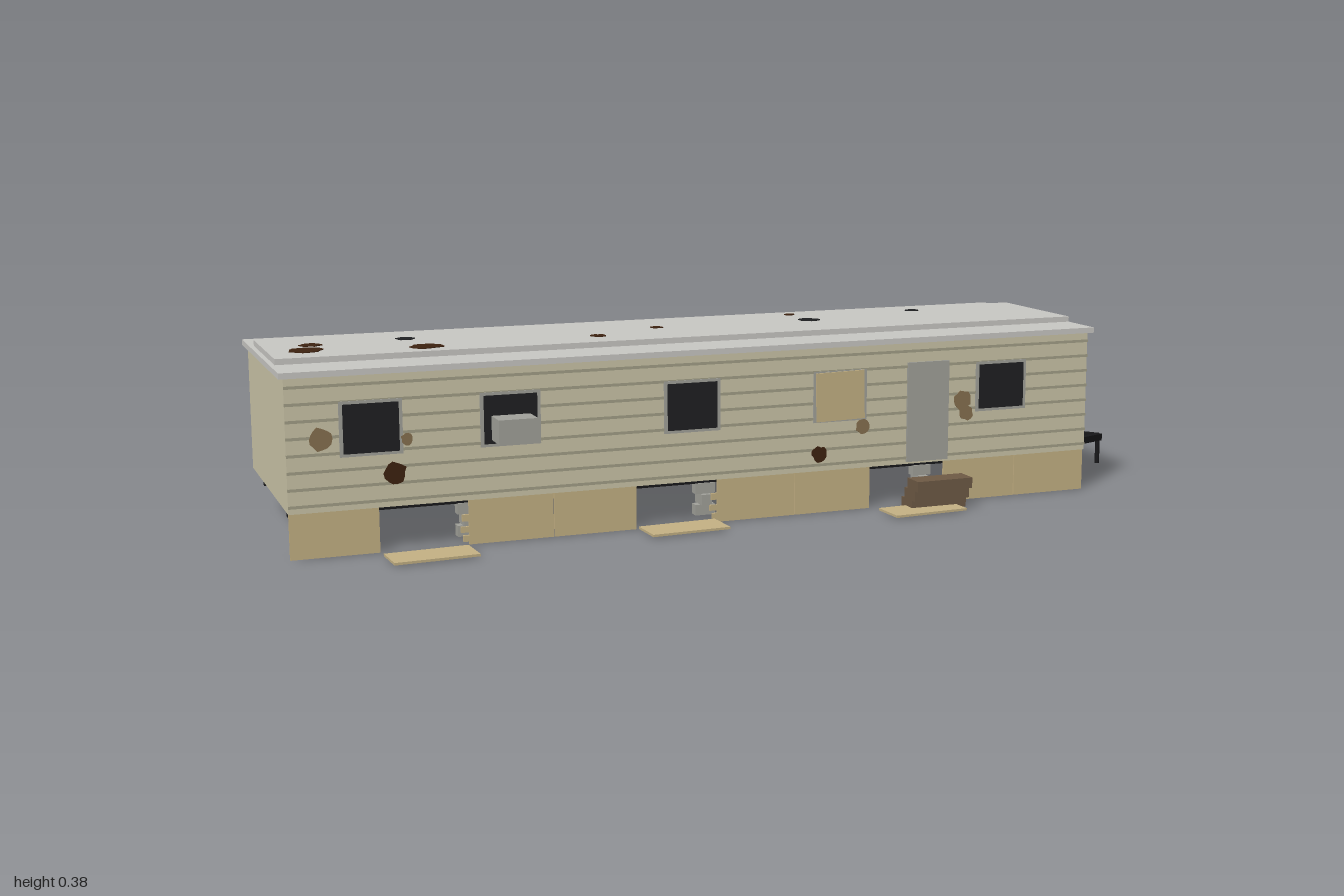
import * as THREE from 'three';

const mat = (name, color, opts = {}) => {
  const m = new THREE.MeshStandardMaterial({ color, ...opts });
  m.name = name;
  return m;
};

export function createModel() {
  const root = new THREE.Group();
  root.name = 'mobileHome';
  const M = {
    siding: mat('cream siding', 0xcbc5a8),
    groove: mat('siding seam', 0xa39f87),
    roof: mat('roof grey', 0xc8c7c3),
    metal: mat('weathered grey', 0xa1a19a),
    glass: mat('dark glass', 0x1f2022),
    steel: mat('black steel', 0x18181a),
    plywood: mat('plywood', 0xc4b184),
    timber: mat('brown timber', 0x6e5a45),
    rust: mat('rust', 0x3d2210, { side: THREE.DoubleSide }),
    dent: mat('torn siding', 0x86704f, { side: THREE.DoubleSide }),
  };

  // Box given by its min and max on each axis
  const box = (name, m, [x0, x1], [y0, y1], [z0, z1], parent = root) => {
    const mesh = new THREE.Mesh(new THREE.BoxGeometry(x1 - x0, y1 - y0, z1 - z0), m);
    mesh.position.set((x0 + x1) / 2, (y0 + y1) / 2, (z0 + z1) / 2);
    mesh.name = name;
    parent.add(mesh);
    return mesh;
  };
  const group = (name) => {
    const g = new THREE.Group();
    g.name = name;
    root.add(g);
    return g;
  };
  let seed = 7;
  const rand = () => (seed = (seed * 16807) % 2147483647) / 2147483647;

  // Irregular flat patch in the xy plane
  const patch = (name, m, r, parent) => {
    const pts = [];
    for (let i = 0; i < 14; i++) {
      const a = (i / 14) * Math.PI * 2, k = r * (0.8 + 0.3 * rand());
      pts.push(new THREE.Vector2(Math.cos(a) * k, Math.sin(a) * k));
    }
    const geo = new THREE.ExtrudeGeometry(new THREE.Shape(pts), { depth: 0.0015, bevelEnabled: false });
    const mesh = new THREE.Mesh(geo, m);
    mesh.name = name;
    parent.add(mesh);
    return mesh;
  };

  // Body and roof
  box('body', M.siding, [-0.99, 0.79], [0.092, 0.36], [-0.297, 0.185]);
  box('roofSlab', M.roof, [-1, 0.8], [0.359, 0.371], [-0.308, 0.195]);
  box('roofCap', M.roof, [-0.99, 0.8], [0.371, 0.383], [-0.2, 0.088]);

  // Siding seams on the front wall
  const seams = group('sidingSeams');
  for (let i = 0; i < 8; i++) {
    const y = 0.106 + i * 0.0335;
    box('seam', M.groove, [-0.99, 0.79], [y - 0.003, y + 0.003], [0.184, 0.1875], seams);
  }

  // Windows, one of them boarded up
  const windows = group('windows');
  [-0.825, -0.545, -0.157, 0.18, 0.57].forEach((x, i) => {
    box('windowFrame', M.metal, [x - 0.062, x + 0.062], [0.198, 0.308], [0.184, 0.189], windows);
    box('windowPane', M.glass, [x - 0.055, x + 0.055], [0.204, 0.302], [0.184, 0.1905], windows);
    if (i === 3) {
      const b = box('windowBoard', M.plywood, [x - 0.057, x + 0.055], [0.201, 0.306], [0.189, 0.193], windows);
      b.rotation.z = 0.02;
    }
  });
  box('airConditioner', M.metal, [-0.585, -0.505], [0.212, 0.261], [0.185, 0.247]);
  box('door', M.metal, [0.34, 0.44], [0.097, 0.316], [0.184, 0.1905]);

  // Damage on the front wall: x, y, radius, material
  const wallDamage = group('wallDamage');
  [
    [-0.78, 0.16, 0.023, M.rust], [0.132, 0.13, 0.018, M.rust],
    [-0.925, 0.237, 0.023, M.dent], [-0.755, 0.226, 0.013, M.dent],
    [0.234, 0.184, 0.017, M.dent], [0.474, 0.225, 0.022, M.dent], [0.484, 0.198, 0.018, M.dent],
  ].forEach(([x, y, r, m]) => patch('wallPatch', m, r, wallDamage).position.set(x, y, 0.1878));

  // Rust and holes on the roof: x, z, radius, material
  const roofDamage = group('roofDamage');
  [
    [-0.917, -0.008, 0.037, M.rust], [-0.893, -0.078, 0.023, M.rust], [-0.675, 0.025, 0.035, M.rust],
    [-0.3, 0.003, 0.017, M.rust], [-0.142, -0.077, 0.014, M.rust], [0.217, -0.174, 0.013, M.rust],
    [-0.692, -0.1, 0.021, M.glass], [0.222, -0.073, 0.023, M.glass], [0.516, -0.142, 0.017, M.glass],
  ].forEach(([x, z, r, m]) => {
    const p = patch('roofPatch', m, r, roofDamage);
    p.rotation.x = -Math.PI / 2;
    p.position.set(x, 0.383, z);
  });

  // Skirting: ten bays, three of them fallen, two panels splintered
  const skirting = group('skirting');
  const w = 0.178;
  for (let i = 0; i < 10; i++) {
    if (i % 3 === 1 && i < 8) continue;
    const x = -0.99 + i * w;
    box('skirtPanel', M.plywood, [x + 0.001, x + w - 0.001], [0, 0.092], [0.176, 0.181], skirting);
    if (i === 2 || i === 5) {
      for (const [y, h, l] of [[0.006, 0.013, 0.011], [0.025, 0.012, 0.016], [0.048, 0.014, 0.013]])
        box('splinter', M.plywood, [x - l, x + 0.002], [y, y + h], [0.176, 0.181], skirting);
    }
  }
  [[-0.727, 0.258, 0.055], [-0.19, 0.227, 0.05], [0.347, 0.256, 0.055]].forEach(([x, z, a]) => {
    const p = box('fallenPanel', M.plywood, [x - 0.086, x + 0.086], [0.003, 0.008], [z - 0.04, z + 0.04], skirting);
    p.rotation.y = a;
  });

  // Entry steps
  const steps = group('entrySteps');
  for (let i = 0; i < 3; i++) {
    const z = 0.198 + i * 0.0135;
    box('step', M.timber, [0.325, 0.456], [0.001 + i * 0.0232, 0.0242 + i * 0.0232], [z, z + 0.05], steps);
  }

  // Chassis rails on stacked block piers
  const chassis = group('chassis');
  for (const z of [0.1, -0.213]) {
    box('rail', M.steel, [-0.98, 0.78], [0.069, 0.092], [z - 0.008, z + 0.008], chassis);
    for (let i = 0; i < 7; i++) {
      const x = -0.1 + (i - 3) * 0.259;
      for (let k = 0; k < 3; k++) {
        const [hx, hz] = k === 1 ? [0.011, 0.022] : [0.022, 0.011];
        box('pierBlock', M.metal, [x - hx, x + hx], [k * 0.0233, k * 0.0233 + 0.0231], [z - hz, z + hz], chassis);
      }
    }
  }

  // Towing frame and jack
  const hitch = group('hitch');
  const tip = new THREE.Vector3(0.985, 0.064, -0.057);
  for (const s of [1, -1]) {
    const start = new THREE.Vector3(0.77, 0.082, -0.057 + s * 0.139);
    const arm = new THREE.Mesh(new THREE.BoxGeometry(0.015, 0.016, start.distanceTo(tip)), M.steel);
    arm.position.copy(start).lerp(tip, 0.5);
    arm.lookAt(tip);
    arm.name = 'hitchArm';
    hitch.add(arm);
  }
  const jack = new THREE.Mesh(new THREE.CylinderGeometry(0.0055, 0.0055, 0.065, 8), M.steel);
  jack.position.set(0.981, 0.0325, -0.057);
  jack.name = 'hitchJack';
  hitch.add(jack);

  return root;
}
